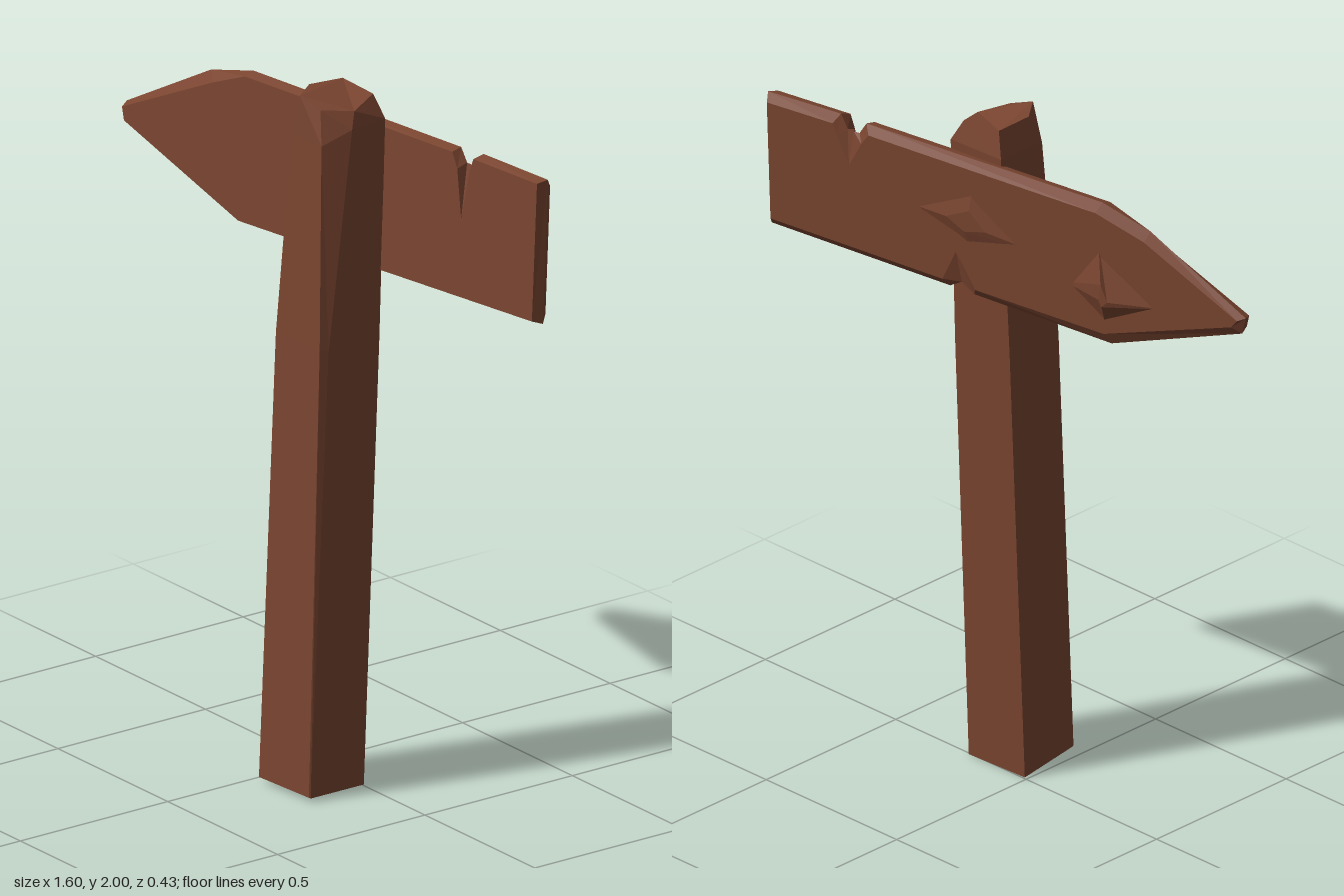
import * as THREE from 'three';

// Skins a stack of equal-length loops and caps both ends.
// The first loop runs counter-clockwise seen from outside; u and v are the cap's axes.
function loft(loops, u, v) {
  const pos = [];
  const tri = (a, b, c) => pos.push(...a, ...b, ...c);
  const n = loops[0].length;
  for (let k = 0; k + 1 < loops.length; k++) {
    for (let i = 0; i < n; i++) {
      const j = (i + 1) % n;
      const a = loops[k][i], b = loops[k][j], c = loops[k + 1][j], d = loops[k + 1][i];
      tri(a, c, b);
      tri(a, d, c);
    }
  }
  const cap = (loop, sign) => {
    const flat = loop.map((p) => new THREE.Vector2(p[u], p[v]));
    for (const f of THREE.ShapeUtils.triangulateShape(flat, [])) {
      const area = THREE.ShapeUtils.area(f.map((i) => flat[i]));
      const [a, b, c] = f.map((i) => loop[i]);
      if (area * sign > 0) tri(a, b, c);
      else tri(a, c, b);
    }
  };
  cap(loops[0], 1);
  cap(loops[loops.length - 1], -1);
  const geo = new THREE.BufferGeometry();
  geo.setAttribute('position', new THREE.Float32BufferAttribute(pos, 3));
  geo.computeVertexNormals();
  return geo;
}

// The board is turned and leans back: z of a point at a depth behind its front face.
const onBoard = (x, y, depth) => [x, y, -0.032 - 0.146 * x - 0.055 * (y - 1.47) - depth];

export function createModel() {
  const group = new THREE.Group();
  const wood = new THREE.MeshStandardMaterial({ color: 0x7a4530 });
  wood.flatShading = true;
  const add = (name, geo) => {
    const mesh = new THREE.Mesh(geo, wood);
    mesh.name = name;
    group.add(mesh);
  };

  // Leaning post: square at the foot, front corners hewn off towards the top
  const post = [
    [[0.01, 0, 0.005], [0.215, 0, -0.005], [0.235, 0.01, 0.19],
      [0.232, 0.012, 0.194], [0.03, 0.015, 0.213], [0.027, 0.014, 0.206]],
    [[0.015, 1.3, -0.048], [0.215, 1.3, -0.058], [0.23, 1.3, 0.125],
      [0.222, 1.3, 0.15], [0.032, 1.3, 0.157], [0.02, 1.3, 0.14]],
    [[0.022, 1.92, -0.075], [0.205, 1.92, -0.085], [0.222, 1.92, 0.04],
      [0.19, 1.88, 0.12], [0.068, 1.88, 0.13], [0.02, 1.92, 0.06]],
    [[0.045, 1.995, -0.06], [0.17, 1.985, -0.07], [0.205, 1.965, 0.02],
      [0.165, 1.975, 0.105], [0.095, 2, 0.122], [0.04, 2, 0.05]],
  ];
  add('post', loft(post, 0, 2));

  // Pointed board with chips: each row gives x, y on the front, the rim and the back
  const outline = [
    [-0.775, 1.648, -0.785, 1.64, -0.765, 1.66],
    [-0.33, 1.48, -0.34, 1.467, -0.33, 1.5],
    [0.12, 1.485, 0.12, 1.474, 0.1, 1.5],
    [0.16, 1.53, 0.16, 1.5, 0.16, 1.6],
    [0.2, 1.485, 0.2, 1.476, 0.21, 1.5],
    [0.788, 1.493, 0.797, 1.482, 0.785, 1.505],
    [0.783, 1.888, 0.79, 1.895, 0.78, 1.87],
    [0.54, 1.893, 0.545, 1.903, 0.56, 1.875],
    [0.527, 1.85, 0.525, 1.862, 0.545, 1.84],
    [0.505, 1.71, 0.505, 1.86, 0.51, 1.76],
    [0.482, 1.85, 0.485, 1.862, 0.465, 1.84],
    [0.46, 1.893, 0.46, 1.9, 0.44, 1.875],
    [-0.33, 1.895, -0.33, 1.905, -0.32, 1.875],
    [-0.45, 1.845, -0.49, 1.865, -0.48, 1.835],
    [-0.785, 1.685, -0.8, 1.692, -0.785, 1.685],
  ];
  const rims = [0, 0.03, 0.048].map((depth, k) =>
    outline.map((r) => onBoard(r[2 * k], r[2 * k + 1], depth)));
  add('board', loft(rims, 0, 1));

  // Raised splinters on the rough back of the board
  const ridge = (base, crest, height) => loft([
    base.map(([x, y]) => onBoard(x, y, 0.04)),
    crest.map(([x, y]) => onBoard(x, y, 0.048 + height)),
  ], 0, 1);
  add('backRidge', ridge(
    [[-0.54, 1.64], [-0.33, 1.53], [-0.2, 1.62], [-0.32, 1.78]],
    [[-0.37, 1.62], [-0.35, 1.6], [-0.34, 1.62], [-0.35, 1.67]], 0.026));
  add('backSwelling', ridge(
    [[-0.12, 1.68], [0.12, 1.62], [0.36, 1.7], [0.1, 1.83]],
    [[0.05, 1.7], [0.12, 1.68], [0.18, 1.71], [0.1, 1.75]], 0.01));

  return group;
}
